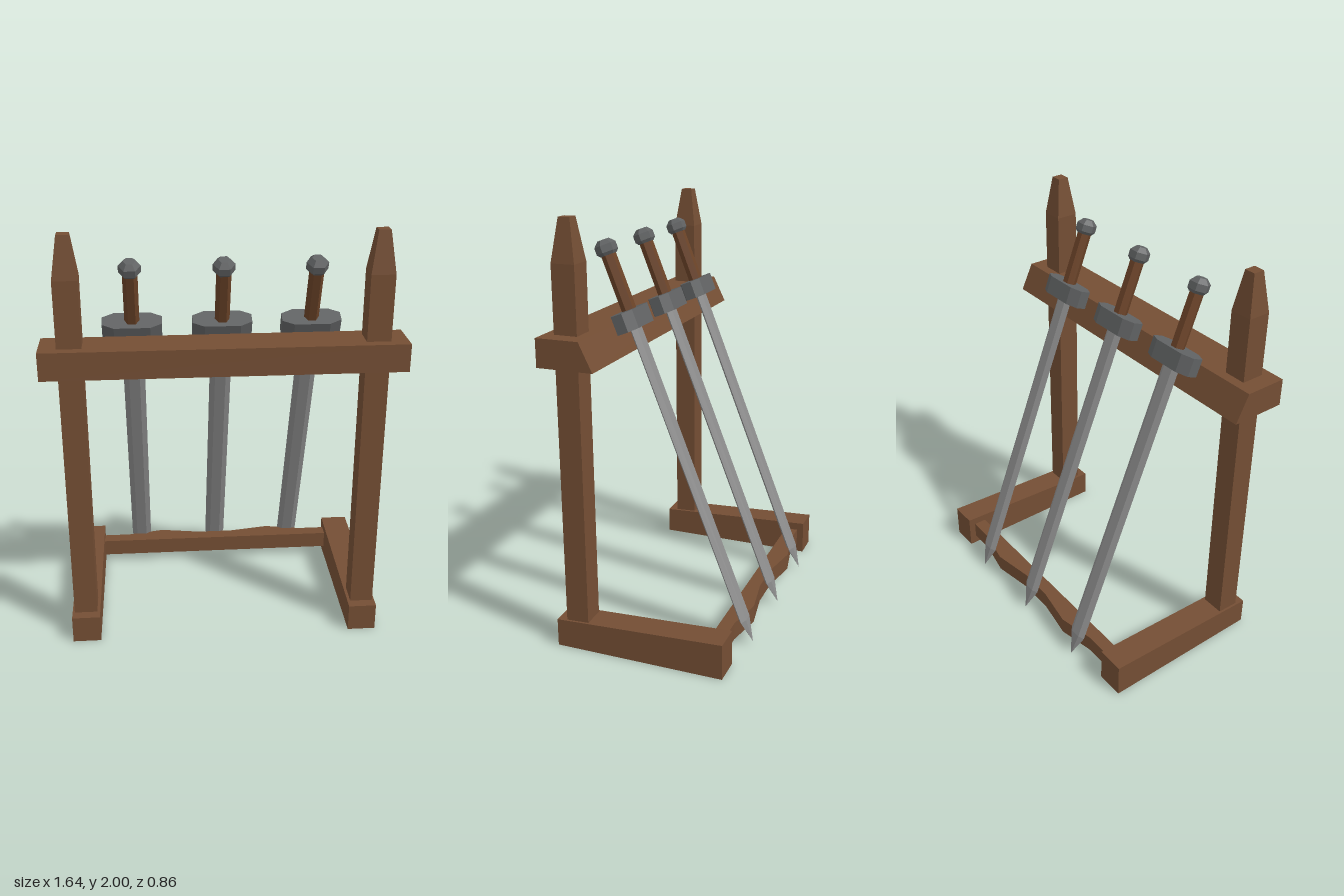
import * as THREE from 'three';

const material = (name, color) => {
  const m = new THREE.MeshStandardMaterial({ color, flatShading: true });
  m.name = name;
  return m;
};

export function createModel() {
  const wood = material('wood', 0x744e34);
  const leather = material('grip brown', 0x6b4328);
  const steel = material('blade steel', 0x8c8c8c);
  const iron = material('dark iron', 0x606263);

  const root = new THREE.Group();
  root.name = 'swordRack';

  const add = (parent, name, geometry, mat, x = 0, y = 0, z = 0) => {
    const mesh = new THREE.Mesh(geometry, mat);
    mesh.name = name;
    mesh.position.set(x, y, z);
    parent.add(mesh);
    return mesh;
  };
  const vectors = (pts) => pts.map(([a, b]) => new THREE.Vector2(a, b));
  const extrude = (pts, depth) =>
    new THREE.ExtrudeGeometry(new THREE.Shape(vectors(pts)), { depth, bevelEnabled: false })
      .translate(0, 0, -depth / 2);
  // Side profile given as (z, y), run along x
  const alongX = (pts, width) => extrude(pts, width).rotateY(-Math.PI / 2);
  // Plan outline given as (x, z), run along y
  const alongY = (pts, height) => extrude(pts, height).rotateX(Math.PI / 2);
  // Faceted solid with a flat side facing the front
  const faceted = (pts, sides) => new THREE.LatheGeometry(vectors(pts), sides, Math.PI / sides);

  // Posts with tapered tops, standing on sloped feet
  for (const [side, s] of [['left', 1], ['right', -1]]) {
    const r = 0.055 * Math.SQRT2, top = 0.027 * Math.SQRT2;
    add(root, side + 'Post', faceted([[0, 0.01], [r, 0.01], [r, 1.81], [top, 2], [0, 2]], 4),
      wood, s * 0.684, 0, 0.329);
    add(root, side + 'Foot', alongX([[0.43, 0], [0.43, 0.135], [-0.39, 0.172], [-0.39, 0]], 0.135),
      wood, s * 0.6825);
  }

  // Upper rail with a slanted back for the swords to lean on
  add(root, 'upperRail', alongX([[0.43, 1.376], [0.43, 1.506], [0.228, 1.506], [0.165, 1.376]], 1.64), wood);

  // Lower rail with a wavy back edge
  const wave = [[0.62, -0.355], [0.48, -0.355], [0.295, -0.391], [0.09, -0.357]];
  const outline = [[-0.62, -0.29], [0.62, -0.29], ...wave, ...wave.map(([x, z]) => [-x, z]).reverse()];
  add(root, 'lowerRail', alongY(outline, 0.085), wood, 0, 0.0875, 0);

  // Swords, each built around the centre of its guard and then leaned forward
  const guard = [[0.136, -0.027], [0.136, 0.027], [0.082, 0.056], [-0.082, 0.056],
    [-0.136, 0.027], [-0.136, -0.027], [-0.082, -0.056], [0.082, -0.056]];
  ['rightSword', 'middleSword', 'leftSword'].forEach((name, i) => {
    const sword = new THREE.Group();
    sword.name = name;
    add(sword, 'blade', faceted([[0, -1.627], [0.051, -1.505], [0.051, 0]], 6).scale(1, 1, 0.4), steel);
    add(sword, 'guard', alongY(guard, 0.086), iron);
    add(sword, 'grip', faceted([[0.034, 0], [0.034, 0.32]], 6), leather);
    add(sword, 'pommel',
      faceted([[0, 0.3], [0.038, 0.3], [0.05, 0.314], [0.05, 0.347], [0.027, 0.37], [0, 0.37]], 6), iron);
    sword.position.set((i - 1) * 0.41, 1.525, 0.1675);
    sword.rotation.x = 0.373;
    root.add(sword);
  });

  return root;
}
